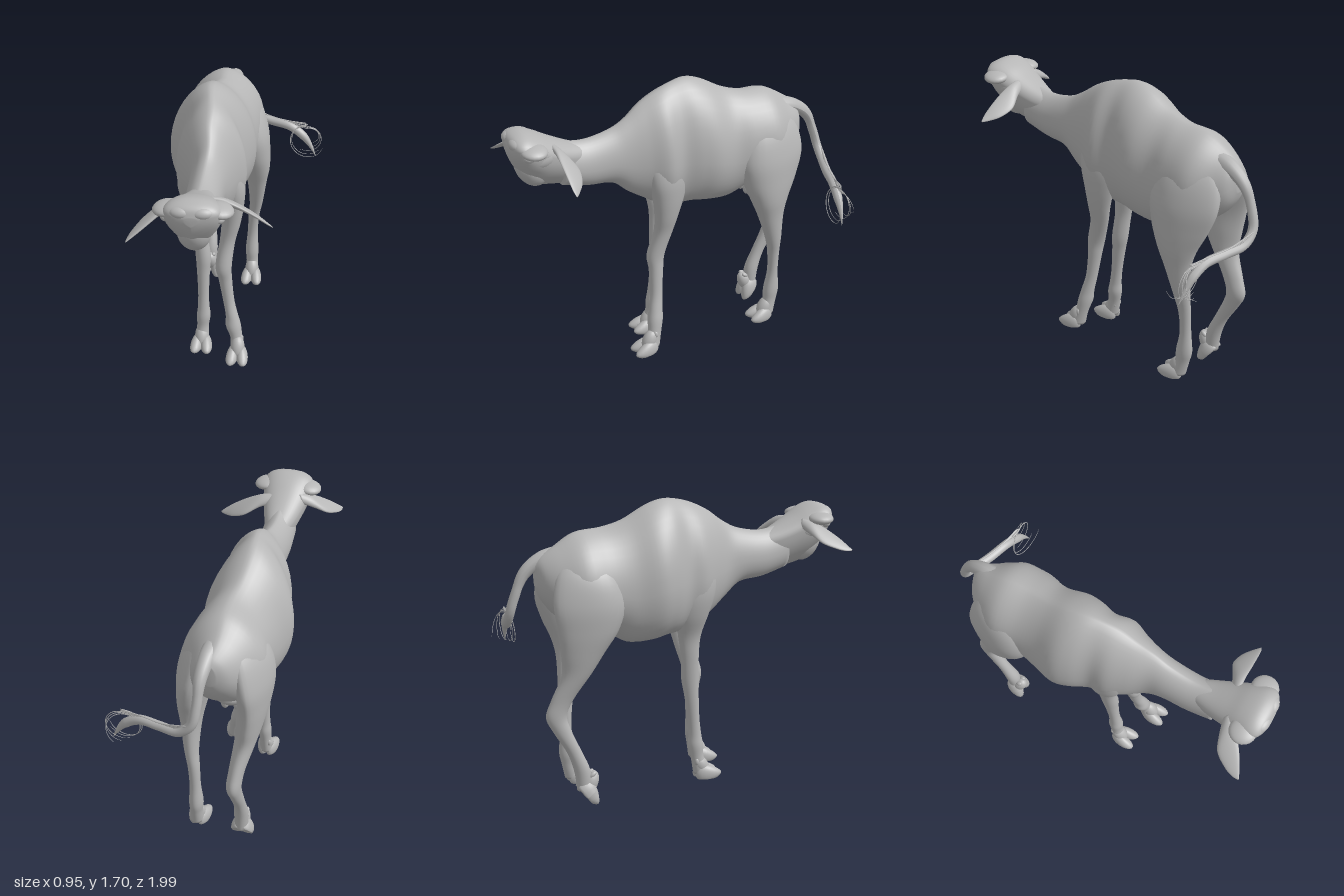
import * as THREE from 'three';

const hide = new THREE.MeshStandardMaterial({ color: 0xb6b6b6 });
hide.name = 'grey hide';

// Smooth value through four neighbouring keys
const spline = (a, b, c, d, t) =>
  0.5 * (2 * b + (c - a) * t + (2 * a - 5 * b + 4 * c - d) * t * t + (3 * b - a - 3 * c + d) * t * t * t);

// Closed skin through key rows; place(row, cos, sin) gives a rim point
function loft(name, keys, place, sides = 28, steps = 5) {
  const rows = [];
  const last = keys.length - 1;
  const key = (i) => keys[Math.max(0, Math.min(last, i))];
  for (let i = 0; i < last; i++)
    for (let s = 0; s < steps; s++)
      rows.push(key(i).map((v, k) => spline(key(i - 1)[k], v, key(i + 1)[k], key(i + 2)[k], s / steps)));
  rows.push(keys[last]);
  const pos = [], index = [];
  for (const row of rows)
    for (let j = 0; j < sides; j++) {
      const a = (j / sides) * Math.PI * 2;
      pos.push(...place(row, Math.cos(a), Math.sin(a)));
    }
  for (let i = 0; i < rows.length - 1; i++)
    for (let j = 0; j < sides; j++) {
      const a = i * sides + j, b = i * sides + ((j + 1) % sides);
      index.push(a, b, a + sides, b, b + sides, a + sides);
    }
  // End caps
  for (const [start, flip] of [[0, true], [(rows.length - 1) * sides, false]]) {
    const mid = [0, 0, 0];
    for (let j = 0; j < sides; j++)
      for (let k = 0; k < 3; k++) mid[k] += pos[(start + j) * 3 + k] / sides;
    const c = pos.length / 3;
    pos.push(...mid);
    for (let j = 0; j < sides; j++) {
      const a = start + j, b = start + ((j + 1) % sides);
      index.push(c, flip ? b : a, flip ? a : b);
    }
  }
  // Turn the faces outward if the enclosed volume is negative
  const v = (i) => new THREE.Vector3().fromArray(pos, i * 3);
  let volume = 0;
  for (let i = 0; i < index.length; i += 3)
    volume += v(index[i]).dot(v(index[i + 1]).cross(v(index[i + 2])));
  if (volume < 0) index.reverse();
  const g = new THREE.BufferGeometry();
  g.setAttribute('position', new THREE.Float32BufferAttribute(pos, 3));
  g.setIndex(index);
  g.computeVertexNormals();
  return named(name, g);
}

function named(name, geometry) {
  const m = new THREE.Mesh(geometry, hide);
  m.name = name;
  return m;
}

function blob(name, p, r, tilt = [0, 0, 0]) {
  const m = named(name, new THREE.SphereGeometry(1, 20, 14));
  m.position.set(...p);
  m.scale.set(...r);
  m.rotation.set(...tilt);
  return m;
}

// Tapering tube along a path
function strand(name, points, radius, n = 40, sides = 12) {
  const curve = new THREE.CatmullRomCurve3(points.map((p) => new THREE.Vector3(...p)));
  const g = new THREE.TubeGeometry(curve, n, 1, sides);
  const p = g.attributes.position, v = new THREE.Vector3();
  for (let i = 0; i < p.count; i++) {
    const t = Math.floor(i / (sides + 1)) / n, c = curve.getPointAt(t);
    v.fromBufferAttribute(p, i).sub(c).multiplyScalar(radius(t)).add(c);
    p.setXYZ(i, v.x, v.y, v.z);
  }
  g.computeVertexNormals();
  return named(name, g);
}

// Upright sections along z: [z, centre x, half width, top, bottom]
const section = (level, up, down) => ([z, x, w, top, bottom], c, s) => {
  const mid = bottom + (top - bottom) * level;
  const wide = Math.sign(c) * Math.abs(c) ** (s > 0 ? up : down);
  return [x + w * wide, mid + s * (s > 0 ? top - mid : mid - bottom), z];
};

// Flat sections down a leg, narrower behind where deep: [y, x, z, half width, half depth]
const limb = ([y, x, z, rx, rz], c, s) => [x + rx * c * (1 + 1.6 * rz * s), y, z + rz * s];

// Cloven foot: two flat-soled toes and a pastern
function foot(name, x, y, z, pitch) {
  const g = new THREE.Group();
  g.name = name;
  for (const side of [-1, 1]) {
    const geo = new THREE.SphereGeometry(1, 18, 14);
    const p = geo.attributes.position;
    for (let i = 0; i < p.count; i++) p.setY(i, Math.max(p.getY(i) * (1 - 0.45 * p.getZ(i)), -0.5));
    geo.computeVertexNormals();
    const toe = named('toe', geo);
    toe.scale.set(0.036, 0.052, 0.08);
    toe.position.set(side * 0.03, 0.025, 0.02);
    toe.rotation.y = side * 0.14;
    g.add(toe, blob('dewclaw', [side * 0.02, 0.11, -0.055], [0.014, 0.024, 0.014]));
  }
  g.add(blob('pastern', [0, 0.07, -0.015], [0.043, 0.075, 0.045], [-0.5, 0, 0]));
  g.position.set(x, y, z);
  g.rotation.x = pitch;
  return g;
}

export function createModel() {
  const model = new THREE.Group();
  model.name = 'calf';

  // Trunk and neck
  model.add(loft('body', [
    [-0.83, -0.11, 0.03, 1.40, 1.28], [-0.80, -0.11, 0.10, 1.44, 1.20], [-0.72, -0.125, 0.165, 1.495, 1.10],
    [-0.60, -0.125, 0.23, 1.56, 1.04], [-0.45, -0.125, 0.225, 1.575, 0.99], [-0.33, -0.145, 0.225, 1.61, 0.92],
    [-0.20, -0.16, 0.25, 1.68, 0.92], [-0.10, -0.16, 0.23, 1.71, 0.935], [0, -0.15, 0.19, 1.70, 0.94],
    [0.10, -0.14, 0.20, 1.67, 0.97], [0.20, -0.14, 0.155, 1.62, 1.03], [0.30, -0.13, 0.113, 1.55, 1.10],
    [0.40, -0.135, 0.10, 1.50, 1.18], [0.55, -0.14, 0.097, 1.475, 1.20], [0.70, -0.14, 0.095, 1.50, 1.24],
  ], section(0.42, 1.25, 0.85), 40));

  // Head, broad across the brow and narrow at the jaw
  model.add(loft('head', [
    [0.55, -0.14, 0.06, 1.45, 1.24], [0.65, -0.14, 0.093, 1.49, 1.235], [0.75, -0.14, 0.12, 1.54, 1.25],
    [0.83, -0.14, 0.14, 1.585, 1.27], [0.90, -0.14, 0.15, 1.61, 1.32], [0.95, -0.14, 0.14, 1.605, 1.39],
    [0.98, -0.14, 0.10, 1.585, 1.45], [0.995, -0.14, 0.03, 1.55, 1.50],
  ], section(0.72, 0.9, 1.7), 36));
  model.add(
    blob('forehead', [-0.09, 1.56, 0.95], [0.065, 0.035, 0.045]),
    blob('forehead', [-0.19, 1.56, 0.95], [0.065, 0.035, 0.045]),
    blob('muzzle', [-0.14, 1.385, 0.865], [0.088, 0.125, 0.085], [0.45, 0, 0]));
  for (const side of [-1, 1]) {
    const x = -0.14 + side * 0.13;
    model.add(
      blob('brow', [x, 1.535, 0.885], [0.075, 0.033, 0.075], [0, side * 0.3, -side * 0.15]),
      blob('cheek', [x - side * 0.035, 1.47, 0.84], [0.045, 0.06, 0.09]),
      blob('eye', [x, 1.505, 0.915], [0.032, 0.026, 0.032]));
  }

  // Ears, thin leaves with the rear edge hanging: [x, y, z, half breadth, half thickness]
  const ear = (dx, dz) => ([x, y, z, b, t], c, s) => [x + dx * b * c, y + t * s + 0.55 * b * c, z + dz * b * c];
  model.add(loft('leftEar', [
    [-0.07, 1.50, 0.75, 0.025, 0.025], [0.0, 1.485, 0.735, 0.035, 0.025], [0.08, 1.445, 0.72, 0.052, 0.018],
    [0.16, 1.405, 0.73, 0.042, 0.013], [0.22, 1.375, 0.75, 0.02, 0.008], [0.25, 1.36, 0.76, 0.003, 0.003],
  ], ear(0, 1), 20));
  model.add(loft('rightEar', [
    [-0.23, 1.51, 0.78, 0.025, 0.025], [-0.30, 1.485, 0.81, 0.04, 0.025], [-0.36, 1.45, 0.85, 0.055, 0.018],
    [-0.42, 1.41, 0.91, 0.04, 0.013], [-0.455, 1.385, 0.95, 0.02, 0.008], [-0.47, 1.375, 0.975, 0.003, 0.003],
  ], ear(0.75, 0.66), 20));

  // Legs
  model.add(loft('leftFrontLeg', [
    [1.48, -0.09, 0.09, 0.04, 0.08], [1.32, -0.045, 0.085, 0.065, 0.13], [1.18, -0.02, 0.08, 0.07, 0.125],
    [1.05, -0.02, 0.08, 0.065, 0.10],
    [0.92, -0.03, 0.09, 0.055, 0.075], [0.80, -0.05, 0.105, 0.046, 0.06], [0.65, -0.07, 0.145, 0.048, 0.056],
    [0.55, -0.06, 0.15, 0.04, 0.045], [0.40, -0.04, 0.16, 0.034, 0.038], [0.30, -0.02, 0.175, 0.037, 0.042],
    [0.23, -0.01, 0.185, 0.046, 0.048], [0.15, 0.01, 0.20, 0.037, 0.042], [0.06, 0.018, 0.225, 0.045, 0.05],
  ], limb), foot('leftFrontFoot', 0.02, 0.03, 0.25, 0.1));
  model.add(loft('rightFrontLeg', [
    [1.48, -0.21, 0.08, 0.04, 0.08], [1.32, -0.25, 0.07, 0.065, 0.13], [1.18, -0.265, 0.06, 0.07, 0.125],
    [1.05, -0.25, 0.05, 0.065, 0.10],
    [0.92, -0.22, 0.05, 0.05, 0.07], [0.80, -0.215, 0.055, 0.042, 0.055], [0.65, -0.20, 0.065, 0.045, 0.053],
    [0.55, -0.20, 0.075, 0.039, 0.044], [0.40, -0.20, 0.09, 0.033, 0.036], [0.30, -0.20, 0.10, 0.035, 0.038],
    [0.23, -0.20, 0.105, 0.042, 0.045], [0.15, -0.205, 0.115, 0.036, 0.04], [0.05, -0.21, 0.14, 0.045, 0.05],
  ], limb), foot('rightFrontFoot', -0.21, 0.02, 0.155, 0));
  model.add(loft('leftHindLeg', [
    [1.50, -0.08, -0.58, 0.04, 0.08], [1.36, -0.02, -0.58, 0.10, 0.18], [1.20, 0.03, -0.575, 0.105, 0.215],
    [1.05, 0.055, -0.565, 0.095, 0.18], [0.92, 0.07, -0.56, 0.08, 0.125], [0.80, 0.072, -0.57, 0.06, 0.085],
    [0.62, 0.065, -0.60, 0.042, 0.052], [0.50, 0.05, -0.615, 0.035, 0.038], [0.36, 0.042, -0.62, 0.033, 0.034],
    [0.23, 0.04, -0.615, 0.042, 0.05], [0.15, 0.042, -0.605, 0.037, 0.045], [0.06, 0.045, -0.58, 0.043, 0.05],
  ], limb), foot('leftHindFoot', 0.042, 0.03, -0.555, 0.05));
  model.add(loft('rightHindLeg', [
    [1.50, -0.17, -0.59, 0.04, 0.08], [1.36, -0.235, -0.585, 0.10, 0.17], [1.20, -0.275, -0.585, 0.105, 0.205],
    [1.05, -0.285, -0.595, 0.09, 0.175], [0.92, -0.275, -0.63, 0.075, 0.125], [0.80, -0.26, -0.665, 0.06, 0.085],
    [0.66, -0.235, -0.74, 0.045, 0.065], [0.56, -0.225, -0.775, 0.042, 0.06], [0.47, -0.23, -0.745, 0.036, 0.052],
    [0.34, -0.235, -0.68, 0.034, 0.042], [0.22, -0.235, -0.635, 0.042, 0.046], [0.10, -0.235, -0.625, 0.038, 0.04],
  ], limb), foot('rightHindFoot', -0.235, 0.08, -0.635, 0.95));

  // Udder
  model.add(blob('udder', [-0.14, 1.0, -0.50], [0.10, 0.065, 0.10]));
  for (const x of [-0.175, -0.105]) model.add(blob('teat', [x, 0.92, -0.50], [0.025, 0.045, 0.025]));

  // Tail with curling hairs at its tip
  model.add(strand('tail', [
    [-0.10, 1.44, -0.67], [-0.085, 1.42, -0.78], [-0.075, 1.35, -0.88], [-0.07, 1.22, -0.94], [-0.05, 1.12, -0.965],
    [0.02, 1.055, -0.96], [0.13, 1.035, -0.92], [0.26, 1.02, -0.88], [0.35, 0.96, -0.86], [0.40, 0.89, -0.85], [0.43, 0.83, -0.84],
  ], (t) => 0.055 - 0.028 * Math.min(1, t * 3.5) + (t > 0.85 ? -0.026 * (t - 0.85) / 0.15 : 0), 60));
  for (let k = 0; k < 5; k++) {
    const r = 0.075 + 0.008 * k, turn = [1, 1, 1, -1, -1][k];
    const hair = [[-0.04, 1.09 + 0.008 * k, -0.985], [0.12, 1.04 + 0.006 * k, -0.93], [0.24, 1.035 + 0.005 * k, -0.89]];
    for (let i = 0; i <= 7; i++) {
      const a = Math.PI / 2 - turn * (i * (0.4 + 0.06 * k));
      hair.push([0.37 + r * Math.cos(a), 0.945 + r * Math.sin(a), -0.86 + 0.005 * (k - 2) * i]);
    }
    model.add(strand('tailHair', hair, (t) => 0.005 * (1 - 0.8 * t), 48, 6));
  }
  return model;
}
